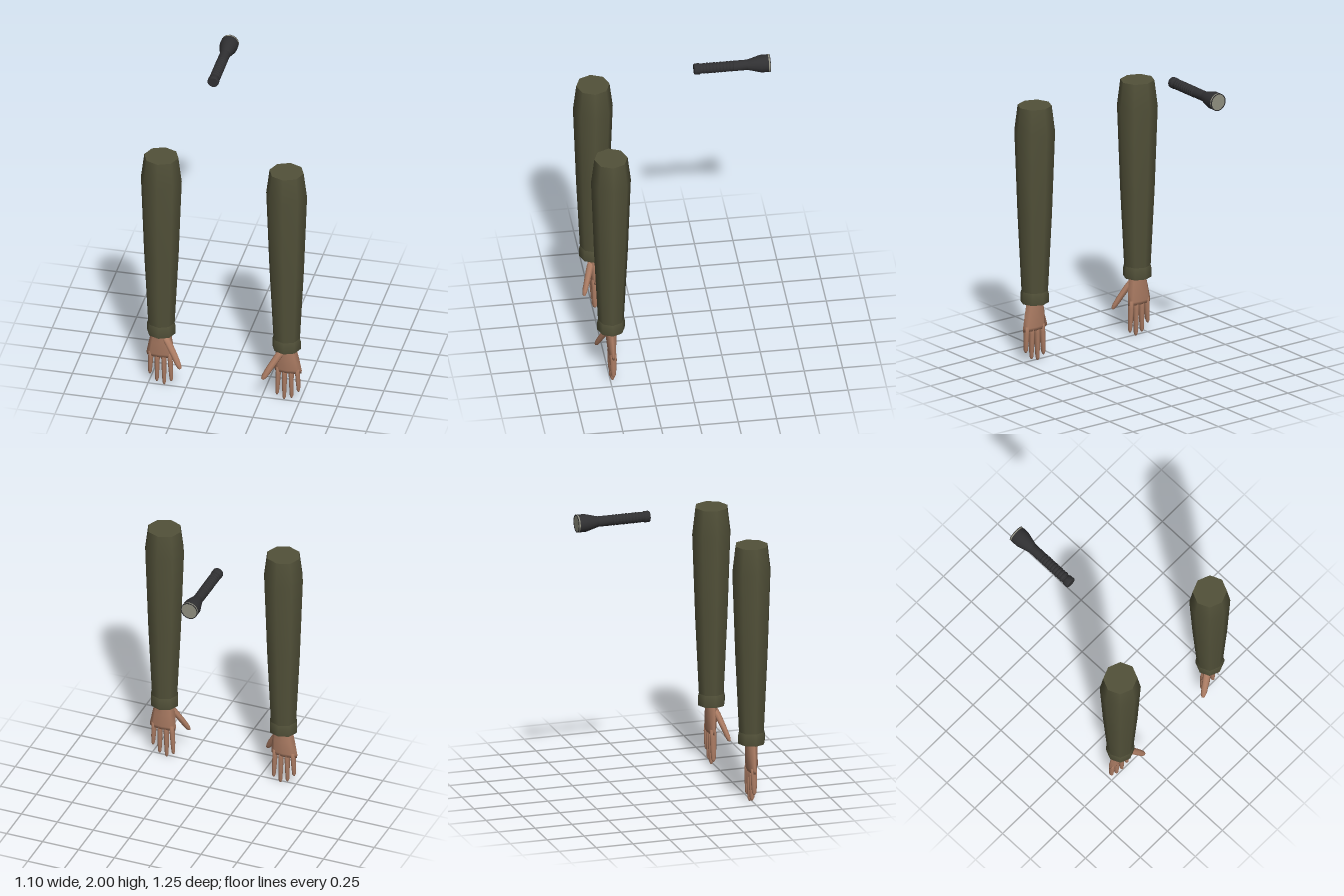
import * as THREE from 'three';
import { toCreasedNormals } from 'three/addons/utils/BufferGeometryUtils.js';

const mat = (name, color) => {
  const m = new THREE.MeshStandardMaterial({ color });
  m.name = name;
  return m;
};
const V = (x, y) => new THREE.Vector2(x, y);

// Closed smooth skin through elliptical rings [x, y, z, rx, rz], listed from top to bottom
function loft(rings, sides = 8) {
  const pos = [], idx = [];
  for (const [x, y, z, rx, rz] of rings) {
    for (let j = 0; j < sides; j++) {
      const a = (j / sides) * Math.PI * 2;
      pos.push(x + Math.cos(a) * rx, y, z + Math.sin(a) * rz);
    }
  }
  const last = rings.length - 1, top = rings.length * sides, bottom = top + 1;
  pos.push(...rings[0].slice(0, 3), ...rings[last].slice(0, 3));
  for (let j = 0; j < sides; j++) {
    const k = (j + 1) % sides;
    for (let i = 0; i < last; i++) {
      const t = i * sides, b = t + sides;
      idx.push(b + j, t + j, t + k, b + j, t + k, b + k);
    }
    idx.push(top, k, j, bottom, last * sides + j, last * sides + k);
  }
  const g = new THREE.BufferGeometry();
  g.setAttribute('position', new THREE.Float32BufferAttribute(pos, 3));
  g.setIndex(idx);
  g.computeVertexNormals();
  return g;
}

export function createModel() {
  const sleeveMat = mat('olive cloth', 0x525139);
  const skinMat = mat('skin', 0xad7d64);
  const torchMat = mat('black metal', 0x303032);
  const lensMat = mat('lens grey', 0x929182);
  const model = new THREE.Group();
  const add = (parent, name, geometry, material) => {
    const m = new THREE.Mesh(geometry, material);
    m.name = name;
    parent.add(m);
    return m;
  };

  const armX = 0.414, armZ = 0.494;
  for (const side of [-1, 1]) {
    const arm = new THREE.Group();
    arm.name = side > 0 ? 'leftArm' : 'rightArm';
    model.add(arm);

    // Eight-sided sleeve, slightly flattened front to back
    const sleeve = new THREE.Group();
    sleeve.name = 'sleeve';
    sleeve.position.set(side * armX, 0, armZ);
    sleeve.scale.z = 0.96;
    arm.add(sleeve);
    add(sleeve, 'sleeveOuter', new THREE.LatheGeometry([
      V(0.088, 0.485), V(0.114, 1.0), V(0.135, 1.57), V(0.113, 1.745)], 8), sleeveMat);
    add(sleeve, 'cuff', new THREE.LatheGeometry([
      V(0.093, 0.405), V(0.095, 0.42), V(0.095, 0.46), V(0.088, 0.485)], 8), sleeveMat);
    // Hollow end of the cuff
    add(sleeve, 'cuffLining', new THREE.LatheGeometry([
      V(0, 0.45), V(0.08, 0.445), V(0.083, 0.405), V(0.093, 0.405)], 8), sleeveMat)
      .geometry.computeVertexNormals();
    const cap = add(sleeve, 'sleeveTop', new THREE.CircleGeometry(0.113, 8), sleeveMat);
    cap.rotation.x = -Math.PI / 2;
    cap.position.y = 1.745;

    // Hand: first number of each ring is the offset toward the body centre
    const limb = (name, rings) => add(arm, name,
      loft(rings.map(([u, ...rest]) => [side * (armX - u), ...rest])), skinMat);
    limb('palm', [
      [0, 0.48, 0.494, 0.055, 0.038], [0, 0.4, 0.494, 0.066, 0.037],
      [-0.003, 0.33, 0.492, 0.079, 0.034], [-0.009, 0.24, 0.489, 0.09, 0.027],
      [-0.009, 0.217, 0.488, 0.088, 0.022]]);
    limb('thumb', [
      [0.02, 0.395, 0.5, 0.025, 0.022], [0.048, 0.35, 0.518, 0.028, 0.024],
      [0.097, 0.27, 0.546, 0.025, 0.02], [0.124, 0.22, 0.562, 0.022, 0.018],
      [0.137, 0.194, 0.569, 0.015, 0.012], [0.138, 0.187, 0.57, 0.006, 0.005]]);
    // Fingers: [knuckle offset, tip offset, tip height]
    const fingers = [[0.054, 0.065, 0.035], [0.014, 0.018, 0.005],
      [-0.028, -0.031, 0.022], [-0.069, -0.077, 0.075]];
    fingers.forEach(([base, tip, end], i) => {
      const ring = (t, rx, rz) => [base + (tip - base) * t, 0.25 + (end - 0.25) * t, 0.488, rx, rz];
      limb('finger' + (i + 1), [ring(0, 0.018, 0.021), ring(0.25, 0.017, 0.022),
        ring(0.6, 0.015, 0.02), ring(0.92, 0.012, 0.015), ring(1, 0.005, 0.006)]);
    });
  }

  // Torch, turned about its axis and pointing backward
  const torch = new THREE.Group();
  torch.name = 'torch';
  torch.position.set(-0.22, 1.943, 0);
  torch.rotation.x = -Math.PI / 2;
  model.add(torch);
  const turned = (name, pts, material) => add(torch, name,
    toCreasedNormals(new THREE.LatheGeometry(pts, 16), 0.6), material);

  turned('tailCap', [V(0, 0.135), V(0.033, 0.135), V(0.037, 0.141),
    V(0.037, 0.17), V(0.032, 0.178)], torchMat);
  // Ribbed grip
  const grip = [V(0.032, 0.178)];
  for (let i = 0; i < 9; i++) {
    const y = 0.19 + i * 0.022;
    grip.push(V(0.031, y), V(0.035, y + 0.006), V(0.035, y + 0.016));
  }
  grip.push(V(0.031, 0.388), V(0.034, 0.392), V(0.034, 0.483));
  turned('grip', grip, torchMat);
  turned('head', [V(0.034, 0.483), V(0.058, 0.57), V(0.058, 0.617)], torchMat);
  // Lens and thin front rim
  turned('lens', [V(0.058, 0.617), V(0.058, 0.626), V(0, 0.626)], lensMat);
  turned('rim', [V(0.0585, 0.625), V(0.0585, 0.629), V(0.053, 0.629), V(0.053, 0.625)], torchMat);

  return model;
}
